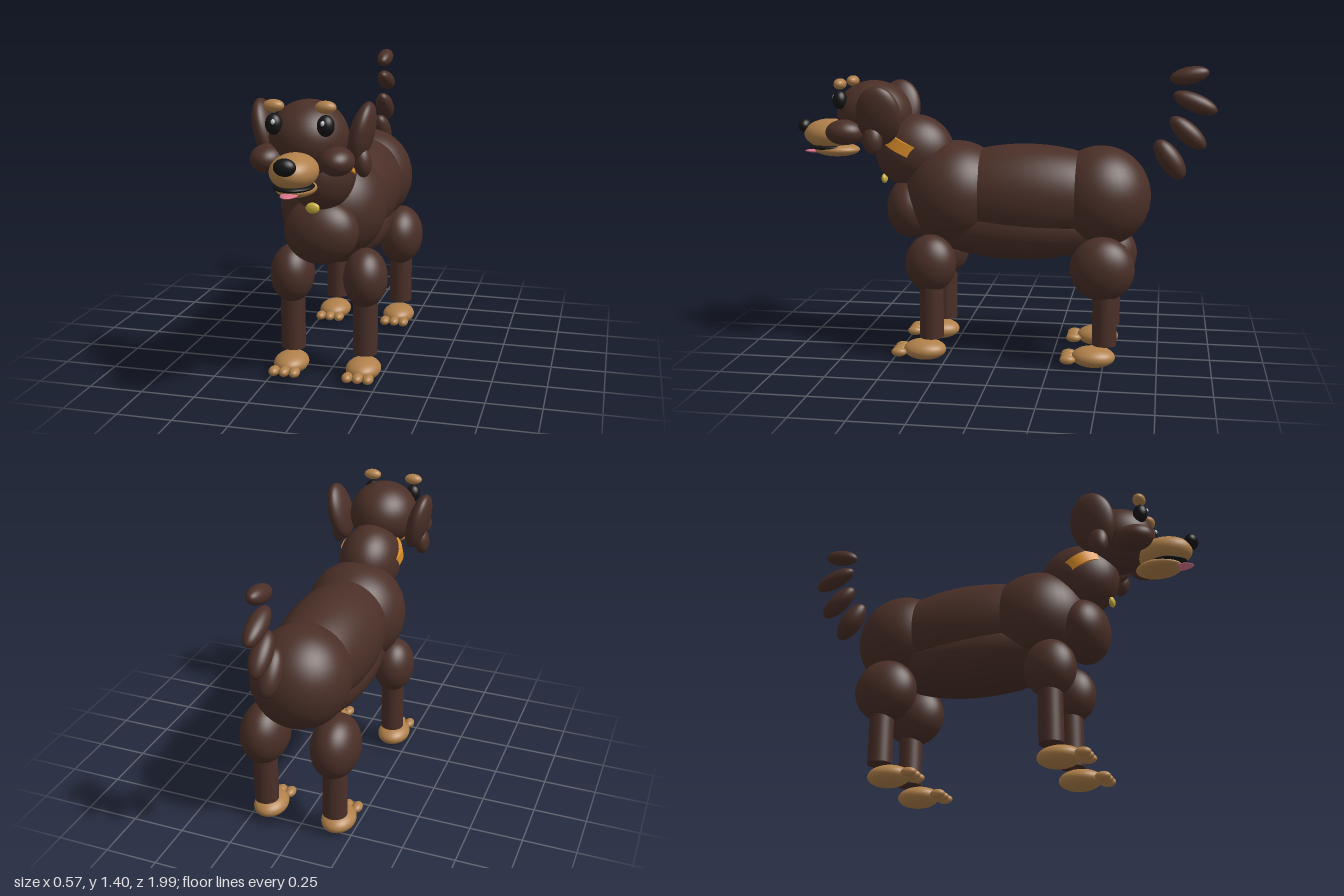
import * as THREE from 'three';

const mat = (color, extra = {}) => new THREE.MeshStandardMaterial({ color, ...extra });

export function createModel() {
  const dog = new THREE.Group();
  dog.name = 'dog';

  const brown = mat(0x4a2f27);
  const tan = mat(0xb0804a);
  const black = mat(0x141414);
  const white = mat(0xffffff);
  const pink = mat(0xd9748a);
  const orange = mat(0xe0922a, { side: THREE.DoubleSide });
  const gold = mat(0xc9b040);
  const ball = new THREE.SphereGeometry(1, 40, 28);

  // Ellipsoid with centre p, radii r and optional rotation
  function blob(name, material, p, r, rot = [0, 0, 0], parent = dog) {
    const mesh = new THREE.Mesh(ball, material);
    mesh.name = name;
    mesh.position.set(...p);
    mesh.scale.set(...r);
    mesh.rotation.set(...rot);
    parent.add(mesh);
    return mesh;
  }

  // Same ellipsoid on both sides
  function pair(name, material, [x, y, z], r, tilt = 0) {
    for (const [side, s] of [['left', 1], ['right', -1]]) {
      blob(side + name, material, [s * x, y, z], r, [0, 0, -s * tilt]);
    }
  }

  // Torso
  blob('hips', brown, [0, 0.79, -0.47], [0.227, 0.238, 0.233]);
  blob('midBody', brown, [0, 0.79, -0.12], [0.227, 0.24, 0.5]);
  blob('shoulders', brown, [0, 0.79, 0.22], [0.243, 0.25, 0.25]);
  blob('belly', brown, [0, 0.645, -0.07], [0.2, 0.17, 0.47]);
  blob('breast', brown, [0, 0.715, 0.44], [0.168, 0.15, 0.12]);

  // Neck, collar and tag
  blob('neck', brown, [0, 0.985, 0.425], [0.15, 0.178, 0.19]);
  const collar = new THREE.Mesh(new THREE.CylinderGeometry(0.156, 0.156, 0.058, 48), orange);
  collar.name = 'collar';
  collar.position.set(0, 1.015, 0.45);
  collar.rotation.x = -0.45;
  collar.scale.z = 0.85;
  dog.add(collar);
  blob('collarTag', gold, [0, 0.85, 0.577], [0.031, 0.024, 0.014]);

  // Head
  blob('skull', brown, [0, 1.165, 0.62], [0.167, 0.157, 0.18]);
  pair('Cheek', brown, [0.147, 1.087, 0.728], [0.073, 0.06, 0.09]);
  pair('Ear', brown, [0.207, 1.172, 0.548], [0.05, 0.142, 0.106], 0.25);
  pair('EarLobe', brown, [0.217, 1.062, 0.574], [0.039, 0.067, 0.046], -0.12);
  pair('Eye', black, [0.109, 1.235, 0.757], [0.036, 0.044, 0.034]);
  pair('EyeGlint', white, [0.104, 1.248, 0.786], [0.009, 0.011, 0.009]);
  pair('Brow', tan, [0.109, 1.31, 0.755], [0.044, 0.026, 0.03]);

  // Muzzle
  blob('muzzle', tan, [0, 1.062, 0.84], [0.098, 0.073, 0.13]);
  blob('nose', black, [0, 1.1, 0.967], [0.046, 0.036, 0.033]);
  blob('mouth', black, [0, 1.0, 0.845], [0.083, 0.018, 0.1]);
  blob('lowerJaw', tan, [0, 0.986, 0.81], [0.082, 0.033, 0.11]);
  blob('tongue', pink, [0, 0.977, 0.9], [0.036, 0.009, 0.072]);

  // Legs: upper leg, shank, paw and three toes
  const shank = new THREE.CylinderGeometry(0.057, 0.057, 0.285, 32);
  function leg(name, x, z, shankZ, pawZ, thigh) {
    const group = new THREE.Group();
    group.name = name;
    blob('upperLeg', brown, [x, 0.477, z], thigh, [0, 0, 0], group);
    const lower = new THREE.Mesh(shank, brown);
    lower.name = 'lowerLeg';
    lower.position.set(x, 0.26, shankZ);
    group.add(lower);
    blob('paw', tan, [x, 0.054, pawZ], [0.08, 0.049, 0.102], [0, 0, 0], group);
    for (const i of [-1, 0, 1]) {
      blob('toe', tan, [x + i * 0.048, 0.048, pawZ + 0.117], [0.025, 0.022, 0.037], [0, 0, 0], group);
    }
    dog.add(group);
  }
  for (const [side, s] of [['Left', 1], ['Right', -1]]) {
    leg('front' + side + 'Leg', s * 0.172, 0.317, 0.315, 0.35, [0.1, 0.137, 0.121]);
    leg('hind' + side + 'Leg', s * 0.172, -0.49, -0.505, -0.455, [0.112, 0.15, 0.15]);
  }

  // Tail: a curl of separate segments [y, z, angle, length, thickness]
  [
    [0.97, -0.785, -0.95, 0.108, 0.052],
    [1.094, -0.864, -0.72, 0.106, 0.047],
    [1.233, -0.893, -0.38, 0.108, 0.043],
    [1.358, -0.863, 0.2, 0.09, 0.04],
  ].forEach(([y, z, angle, length, thick], i) => {
    blob('tailSegment' + (i + 1), brown, [0, y, z], [thick, thick, length], [angle, 0, 0]);
  });

  return dog;
}
